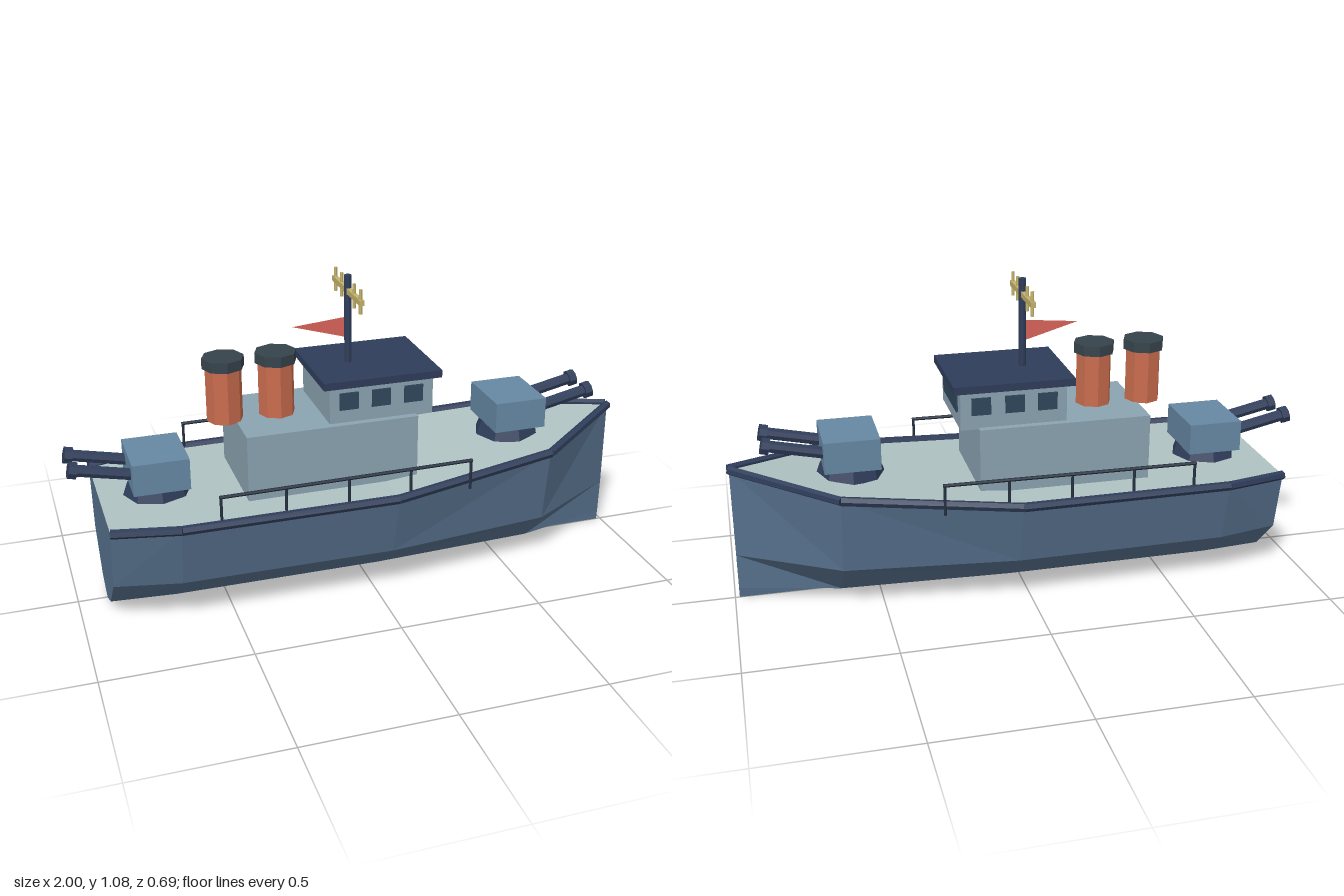
import * as THREE from 'three';

const COLORS = {
  hull: 0x56708c, deck: 0xafc2c2, cabin: 0x8aa3b1, navy: 0x2f3d5a, turret: 0x6688a4, glass: 0x2f475c,
  dark: 0x36434c, funnel: 0xc96c4e, brass: 0xc4b36c, flag: 0xd9645a, rail: 0x253040,
};
const mats = {};
for (const k in COLORS) mats[k] = new THREE.MeshStandardMaterial({ color: COLORS[k], flatShading: true });
mats.flag.side = THREE.DoubleSide;

function add(parent, name, geo, mat, x = 0, y = 0, z = 0) {
  const m = new THREE.Mesh(geo, mats[mat]);
  m.name = name;
  m.position.set(x, y, z);
  parent.add(m);
  return m;
}

// box given by its lower and upper corners
function block(parent, name, mat, [x0, y0, z0], [x1, y1, z1]) {
  return add(parent, name, new THREE.BoxGeometry(x1 - x0, y1 - y0, z1 - z0), mat,
    (x0 + x1) / 2, (y0 + y1) / 2, (z0 + z1) / 2);
}

// round bar between two points
function bar(parent, name, mat, p, q, r, sides = 6) {
  const a = new THREE.Vector3(...p), b = new THREE.Vector3(...q);
  const d = b.clone().sub(a);
  const m = add(parent, name, new THREE.CylinderGeometry(r, r, d.length(), sides), mat);
  m.position.copy(a).add(b).multiplyScalar(0.5);
  m.quaternion.setFromUnitVectors(new THREE.Vector3(0, 1, 0), d.normalize());
  return m;
}

function polygons(tris) {
  const g = new THREE.BufferGeometry();
  g.setAttribute('position', new THREE.Float32BufferAttribute(tris.flat(), 3));
  g.computeVertexNormals();
  return g;
}

// hull stations from stern to bow: x, half width, deck height
const STATIONS = [
  [-0.9, 0.265, 0.38], [-0.68, 0.32, 0.385], [0.05, 0.328, 0.387], [0.64, 0.25, 0.438], [0.985, 0.008, 0.482],
];

function buildHull(root) {
  const rings = STATIONS.map(([x, w, y]) => {
    const half = [[x, y, w], [x, 0.165, w * 0.84], [x, 0.037, w * 0.36]];
    const mirror = half.map(([a, b, c]) => [a, b, -c]).reverse();
    return [...half, [x, 0, 0], ...mirror];
  });
  const shell = [], deck = [];
  for (let i = 0; i < rings.length - 1; i++) {
    for (let j = 0; j < 7; j++) {
      const k = (j + 1) % 7;
      const a = rings[i][j], d = rings[i][k], b = rings[i + 1][j], c = rings[i + 1][k];
      const tris = j < 3 || j === 6 ? [a, d, b, d, c, b] : [a, d, c, a, c, b];
      (j === 6 ? deck : shell).push(...tris);
    }
  }
  // transom and stem
  const s = rings[0], f = rings[rings.length - 1];
  for (let j = 1; j < 6; j++) shell.push(s[0], s[j + 1], s[j], f[0], f[j], f[j + 1]);
  add(root, 'hull', polygons(shell), 'hull');
  add(root, 'deck', polygons(deck), 'deck');

  // rubbing strake along both deck edges
  for (const side of [1, -1]) {
    for (let i = 0; i < STATIONS.length - 1; i++) {
      const [p, q] = [STATIONS[i], STATIONS[i + 1]].map(([x, w, y]) => [x, y, side * w]);
      bar(root, 'strake', 'navy', p, q, 0.016);
    }
  }
}

// twin gun turret, pointing along +x before rotation
function buildTurret(root, name, x, y, turn) {
  const t = new THREE.Group();
  t.name = name;
  t.position.set(x, y, 0);
  t.rotation.y = turn;
  add(t, 'turretBase', new THREE.CylinderGeometry(0.1, 0.118, 0.05, 8), 'navy', 0, 0.012, 0);
  block(t, 'turretHousing', 'turret', [-0.095, 0.035, -0.115], [0.095, 0.145, 0.115]);
  for (const z of [0.062, -0.062]) {
    bar(t, 'barrel', 'navy', [0.06, 0.087, z], [0.28, 0.135, z], 0.021, 8);
    bar(t, 'muzzle', 'navy', [0.268, 0.132, z], [0.294, 0.138, z], 0.03, 8);
  }
  root.add(t);
}

function buildCabin(root) {
  block(root, 'deckhouse', 'cabin', [-0.43, 0.37, -0.185], [0.165, 0.615, 0.185]);
  block(root, 'bridge', 'cabin', [-0.14, 0.61, -0.16], [0.225, 0.745, 0.16]);
  block(root, 'bridgeRoof', 'navy', [-0.165, 0.743, -0.18], [0.25, 0.769, 0.18]);
  block(root, 'frontWindow', 'glass', [0.22, 0.66, -0.115], [0.231, 0.722, 0.115]);
  for (const side of [1, -1]) {
    for (const x of [-0.073, 0.04, 0.155]) {
      add(root, 'sideWindow', new THREE.BoxGeometry(0.066, 0.06, 0.012), 'glass', x, 0.691, side * 0.16);
    }
  }
  for (const x of [-0.46, -0.28]) {
    add(root, 'funnel', new THREE.CylinderGeometry(0.062, 0.062, 0.19, 8), 'funnel', x, 0.708, 0);
    add(root, 'funnelCap', new THREE.CylinderGeometry(0.072, 0.072, 0.036, 8), 'dark', x, 0.818, 0);
  }
}

function buildMast(root) {
  const x = -0.025;
  bar(root, 'mast', 'navy', [x, 0.76, 0], [x, 1.075, 0], 0.013, 8);
  block(root, 'antennaYard', 'brass', [x - 0.008, 1.012, -0.15], [x + 0.008, 1.031, 0.15]);
  for (const z of [-0.135, -0.068, 0.068, 0.135]) {
    bar(root, 'antennaRod', 'brass', [x, 0.98, z], [x, 1.064, z], 0.006);
  }
  add(root, 'pennant', polygons([[x, 0.93, 0], [-0.22, 0.912, 0], [x, 0.855, 0]]), 'flag');
}

function buildRailings(root) {
  const xs = [-0.55, -0.335, -0.12, 0.095, 0.31];
  for (const side of [1, -1]) {
    const z = side * 0.312;
    const top = (x) => 0.479 + (x + 0.55) * 0.007;
    for (const x of xs) bar(root, 'railPost', 'rail', [x, 0.38, z], [x, top(x), z], 0.005);
    bar(root, 'handrail', 'rail', [xs[0] - 0.005, top(xs[0]), z], [xs[4] + 0.005, top(xs[4]), z], 0.006);
  }
}

export function createModel() {
  const root = new THREE.Group();
  root.name = 'gunboat';
  buildHull(root);
  buildCabin(root);
  buildMast(root);
  buildRailings(root);
  buildTurret(root, 'foreTurret', 0.582, 0.443, 0);
  buildTurret(root, 'aftTurret', -0.703, 0.39, Math.PI);
  return root;
}
